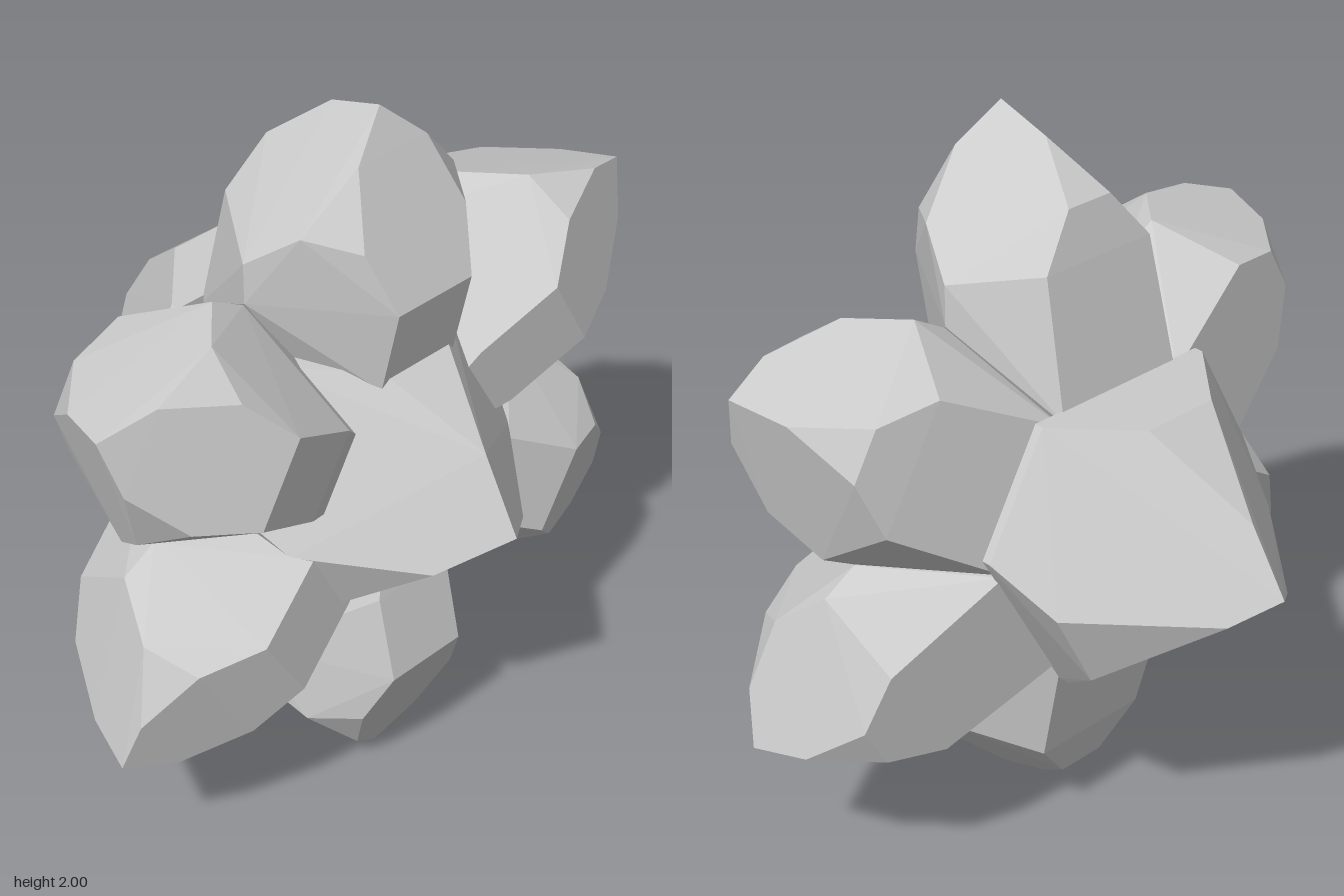
import * as THREE from 'three';
import { ConvexGeometry } from 'three/addons/geometries/ConvexGeometry.js';

// Convex faceted solid from a half set of points, mirrored across x
function facetedSolid(points) {
  const all = [];
  for (const [x, y, z] of points) {
    all.push(new THREE.Vector3(x, y, z));
    if (x !== 0) all.push(new THREE.Vector3(-x, y, z));
  }
  return new ConvexGeometry(all);
}

export function createModel() {
  const model = new THREE.Group();
  model.name = 'crystalCluster';
  const stone = new THREE.MeshStandardMaterial({ color: 0xcccccc, flatShading: true });
  stone.name = 'grey stone';

  // Everything is built around the centre of the cluster
  const cluster = new THREE.Group();
  cluster.name = 'cluster';
  cluster.position.y = 1;
  cluster.rotation.z = 0.015;
  model.add(cluster);

  const add = (name, geometry) => {
    const mesh = new THREE.Mesh(geometry, stone);
    mesh.name = name;
    cluster.add(mesh);
    return mesh;
  };

  // One pointed lobe, growing up from the centre
  const lobe = facetedSolid([
    [0, 1, 0.25],                                              // tip
    [0, 0.95, 0.095],                                          // rear ridge
    [0.11, 0.9, 0.295], [0.165, 0.725, 0.372], [0.12, 0.57, 0.44], // front face
    [0.25, 0.75, 0.25], [0.31, 0.65, 0.12], [0.31, 0.54, 0.12],    // widest edge
    [0.07, 0.83, -0.055], [0.175, 0.7, -0.09], [0.195, 0.345, -0.172], // back face
    [0.12, 0.33, 0.385], [0.02, 0, 0.3], [0.02, 0, 0.1], [0.02, 0, -0.24], // root
  ]);
  for (let i = 0; i < 6; i++) {
    add(`lobe${i + 1}`, lobe).rotation.z = i * Math.PI / 3;
  }

  // Three-sided points with cut corners, at the front and the back
  const point = (s, ridge) => facetedSolid([
    [0, 0.01, s * 0.725],                                      // apex
    [0, ridge[0], s * 0.615], [ridge[1], ridge[2], s * ridge[3]],  // ridge ends
    [0.11, 0.375, s * 0.37], [0.385, -0.055, s * 0.345], [0.27, -0.28, s * 0.35],
    [0.28, 0.375, s * 0.185], [0.455, 0.065, s * 0.185], [0.19, -0.41, s * 0.19],
    [0.28, 0.375, s * 0.16], [0.455, 0.065, s * 0.16], [0.19, -0.41, s * 0.16],
  ]);
  add('frontPoint', point(1, [0.205, 0.16, -0.085, 0.605]));
  add('backPoint', point(-1, [0.175, 0.11, -0.055, 0.645]));

  return model;
}
